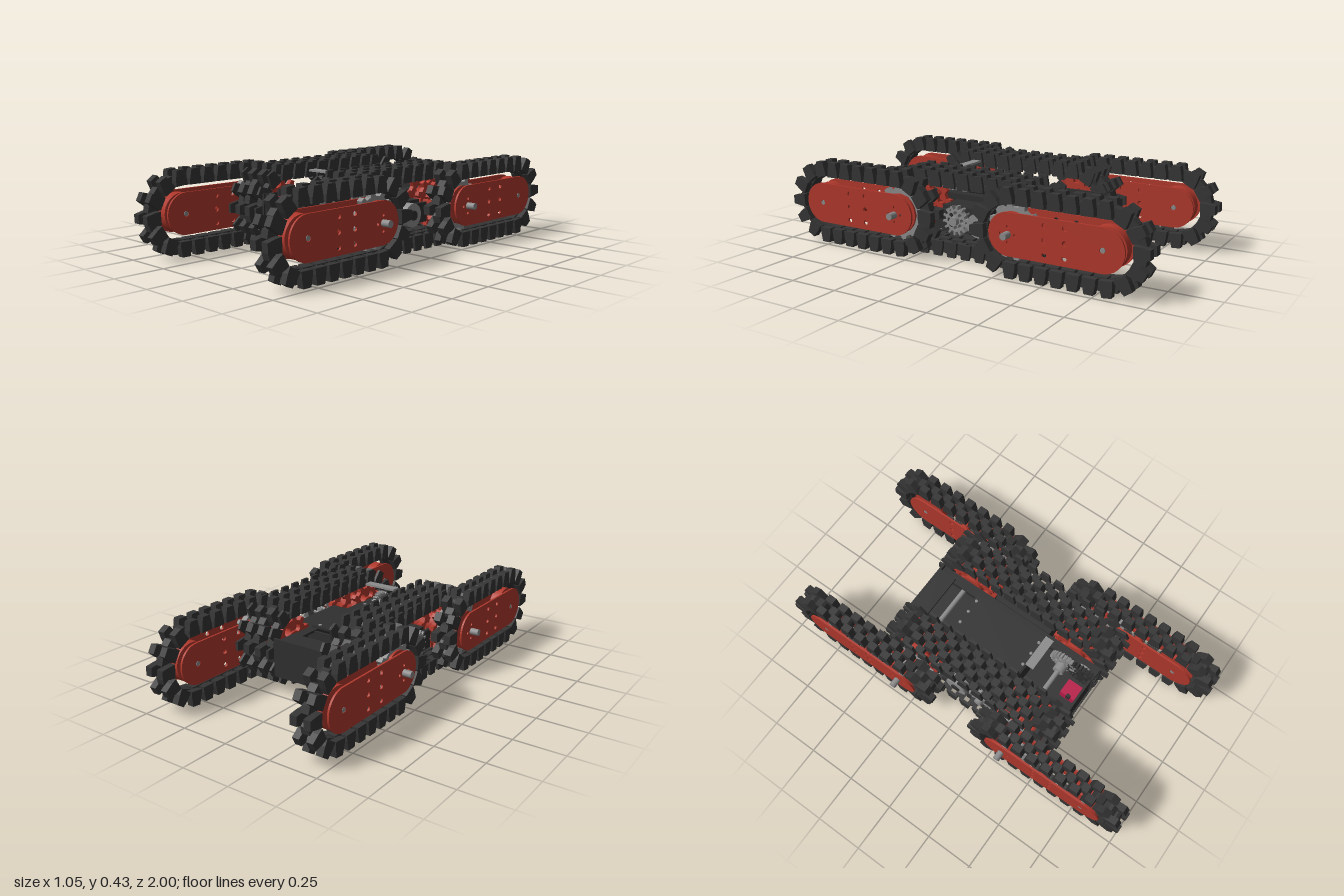
import * as THREE from 'three';
import { mergeGeometries } from 'three/addons/utils/BufferGeometryUtils.js';

const mat = (color) => new THREE.MeshStandardMaterial({ color });
const RUBBER = mat(0x353535), DARK = mat(0x303030), RED = mat(0xb0382c), GREY = mat(0x8c8c8c), PINK = mat(0xb81c4a);
const AXLE_Y = 0.22, PIVOT_Z = 0.322, TIP_Z = 0.787;

function add(parent, name, geo, material, x = 0, y = 0, z = 0) {
  const m = new THREE.Mesh(geo, material);
  m.name = name;
  m.position.set(x, y, z);
  parent.add(m);
  return m;
}
const box = (w, h, d) => new THREE.BoxGeometry(w, h, d);
// cylinder lying along x
const rod = (r, len, sides = 24) => new THREE.CylinderGeometry(r, r, len, sides).rotateZ(Math.PI / 2);

// extrude a (z, y) outline along x, centred on its thickness
function slab(shape, width, curveSegments = 12) {
  return new THREE.ExtrudeGeometry(shape, { depth: width, bevelEnabled: false, curveSegments })
    .translate(0, 0, -width / 2).rotateY(-Math.PI / 2);
}
const poly = (pts) => new THREE.Shape(pts.map(([a, b]) => new THREE.Vector2(a, b)));
function hole(shape, z, y, r) {
  shape.holes.push(new THREE.Path().absarc(z, y, r, 0, Math.PI * 2, true));
}

// toothed wheel with an optional ring of lightening holes
function gear(rIn, rOut, teeth, width, holes = 0) {
  const pts = [];
  for (let i = 0; i < teeth; i++) {
    [[0, rIn], [0.45, rIn], [0.58, rOut], [0.87, rOut]].forEach(([f, r]) => {
      const a = ((i + f) / teeth) * Math.PI * 2;
      pts.push([Math.cos(a) * r, Math.sin(a) * r]);
    });
  }
  const s = poly(pts);
  for (let i = 0; i < holes; i++) {
    const a = (i / holes) * Math.PI * 2;
    hole(s, Math.cos(a) * rIn * 0.66, Math.sin(a) * rIn * 0.66, rIn * 0.2);
  }
  return slab(s, width);
}

// point on a belt loop at arc length s: [z, y, turn]
function loopPoint(s, half, r) {
  const straight = half * 2, arc = Math.PI * r, total = 2 * (straight + arc);
  s = ((s % total) + total) % total;
  const back = s >= total / 2;
  if (back) s -= total / 2;
  const turn = back ? Math.PI : 0, sign = back ? -1 : 1;
  if (s < straight) return [sign * (s - half), sign * r, turn];
  const a = (s - straight) / r;
  return [sign * (half + Math.sin(a) * r), sign * Math.cos(a) * r, turn + a];
}

// trapezoid block profiles: along the belt and outward from the belt line
const LUG = poly([[-0.033, -0.022], [0.033, -0.022], [0.031, 0.008], [0.022, 0.054], [-0.022, 0.054], [-0.031, 0.008]]);
const LINK = poly([[-0.033, -0.027], [0.033, -0.027], [0.028, 0.015], [0.018, 0.028], [-0.018, 0.028], [-0.028, 0.015]]);
const PAD = poly([[-0.027, -0.016], [0.027, -0.016], [0.02, 0.006], [-0.02, 0.006]]);

// belt made of columns [x, width, profile, phase]
function belt(half, count, columns) {
  const r = 0.158, pitch = 2 * (2 * half + Math.PI * r) / count, parts = [];
  for (const [x, width, profile, phase] of columns) {
    for (let i = 0; i < count; i++) {
      const [z, y, turn] = loopPoint((i + phase) * pitch, half, r);
      parts.push(slab(profile, width).rotateX(turn).translate(x, y, z));
    }
  }
  return mergeGeometries(parts);
}

// rounded red side plate with bolt holes, pivot at its origin, reaching along +z
function sidePlate(width) {
  const L = TIP_Z - PIVOT_Z, r = 0.103, s = new THREE.Shape();
  s.absarc(L, 0, r, -Math.PI / 2, Math.PI / 2, false);
  s.absarc(0, 0, r, Math.PI / 2, Math.PI * 1.5, false);
  hole(s, L, 0, 0.014);
  for (const z of [0.185, 0.285]) for (const y of [-0.068, 0, 0.068]) hole(s, z, y, 0.012);
  for (let i = 0; i < 4; i++) hole(s, Math.cos(i * Math.PI / 2) * 0.037, Math.sin(i * Math.PI / 2) * 0.037, 0.008);
  return slab(s, width, 16);
}

function flipper(side, end) {
  const g = new THREE.Group(), x = side * 0.42, L = TIP_Z - PIVOT_Z;
  g.name = 'flipper';
  const columns = [[-0.036, 0.036, LUG, 0], [0.036, 0.036, LUG, 0], [0, 0.042, LINK, 0.5]];
  add(g, 'flipperTrack', belt(L / 2, 24, columns), RUBBER, x, 0, end * L / 2);
  for (const off of [-0.056, 0.056]) {
    add(g, 'flipperSidePlate', sidePlate(0.01).rotateY(end < 0 ? Math.PI : 0), RED, x + off, 0, 0);
  }
  for (const z of [0, end * L]) add(g, 'flipperHub', rod(0.098, 0.05, 32), RED, x, 0, z);
  add(g, 'flipperSpacer', rod(0.025, 0.104, 16), RED, x, 0, end * L / 2);
  add(g, 'driveSprocket', gear(0.118, 0.14, 12, 0.03, 6), GREY, x, 0, 0);
  add(g, 'tipPin', rod(0.012, 0.122, 12), GREY, x, 0, end * L);
  add(g, 'pivotShaft', rod(0.017, 0.19, 16), GREY, side * 0.43, 0, 0);
  g.position.set(0, AXLE_Y, end * PIVOT_Z);
  return g;
}

function mainTrack(side) {
  const g = new THREE.Group();
  g.name = 'mainTrack';
  const columns = [
    [-0.098, 0.014, LUG, 0], [-0.036, 0.036, LUG, 0], [0.036, 0.036, LUG, 0], [0.098, 0.014, LUG, 0],
    [-0.072, 0.038, PAD, 0.5], [0, 0.04, LINK, 0.5], [0.072, 0.038, PAD, 0.5],
  ];
  add(g, 'trackBelt', belt(PIVOT_Z, 28, columns), RUBBER);
  for (const z of [-PIVOT_Z, PIVOT_Z]) {
    add(g, 'wheelHub', rod(0.06, 0.19), RED, 0, 0, z);
    for (const x of [-0.07, 0, 0.07]) add(g, 'trackWheel', gear(0.112, 0.136, 12, 0.024, 6), RED, x, 0, z);
    add(g, 'outerSprocket', gear(0.12, 0.138, 16, 0.012, 6), GREY, side * 0.1, 0, z);
    add(g, 'wheelAxle', rod(0.017, 0.24, 16), GREY, 0, 0, z);
  }
  // motors inside the loop
  add(g, 'motorGear', gear(0.056, 0.075, 14, 0.03, 8), GREY, side * 0.05, -0.033, 0.075);
  add(g, 'motorGearShaft', rod(0.022, 0.18, 16), GREY, 0, -0.033, 0.075);
  add(g, 'motor', rod(0.06, 0.17, 32), GREY, 0, -0.035, -0.065);
  add(g, 'motorCap', rod(0.025, 0.184, 16), DARK, 0, -0.035, -0.065);
  add(g, 'motorBracket', box(0.13, 0.13, 0.34), DARK, side * -0.03, -0.035, 0);
  for (const z of [-0.15, 0.15]) add(g, 'tensionBracket', box(0.02, 0.1, 0.1), DARK, side * 0.05, -0.035, z);
  g.position.set(side * 0.252, AXLE_Y, 0);
  return g;
}

function chassis() {
  const g = new THREE.Group();
  g.name = 'chassis';
  add(g, 'floor', box(0.29, 0.012, 0.99), DARK, 0, 0.111, 0);
  add(g, 'rightWall', box(0.012, 0.2, 0.99), DARK, -0.14, 0.205, 0);
  add(g, 'leftWall', box(0.012, 0.17, 0.99), DARK, 0.14, 0.19, 0);
  add(g, 'rearWall', box(0.29, 0.195, 0.012), DARK, 0, 0.203, -0.49);
  add(g, 'frontWall', box(0.2, 0.195, 0.012), DARK, -0.045, 0.203, 0.48);
  add(g, 'lowerFrontWall', box(0.09, 0.05, 0.012), DARK, 0.1, 0.13, 0.48);
  add(g, 'deck', box(0.25, 0.012, 0.42), DARK, -0.015, 0.294, -0.035);
  add(g, 'deckStep', box(0.05, 0.012, 0.98), DARK, 0.118, 0.27, 0);
  add(g, 'rearShelf', box(0.25, 0.012, 0.1), DARK, -0.015, 0.294, -0.44);
  for (const z of [-0.24, 0.17]) {
    add(g, 'bulkhead', box(0.27, 0.16, 0.012), DARK, 0, 0.19, z);
    for (const x of [-0.07, 0, 0.07]) add(g, 'deckBolt', new THREE.CylinderGeometry(0.008, 0.008, 0.008, 10), GREY, x, 0.302, z * 0.95);
  }
  add(g, 'rearCrossShaft', rod(0.013, 0.21, 16), GREY, 0, AXLE_Y + 0.03, -0.33);
  // front gear train and servo
  add(g, 'frontCrossShaft', rod(0.013, 0.25, 16), GREY, 0, AXLE_Y + 0.03, 0.317);
  add(g, 'shaftCollar', rod(0.03, 0.04, 20), GREY, 0.035, AXLE_Y + 0.03, 0.317);
  add(g, 'drivenGear', gear(0.068, 0.08, 24, 0.026, 6), GREY, 0.077, 0.25, 0.317);
  add(g, 'drivingGear', gear(0.078, 0.092, 26, 0.026, 6), DARK, 0.077, 0.242, 0.42);
  add(g, 'gearBoss', rod(0.045, 0.02, 24), GREY, 0.1, 0.242, 0.42);
  add(g, 'servo', box(0.08, 0.14, 0.085), PINK, -0.037, 0.227, 0.435);
  add(g, 'servoMount', box(0.15, 0.12, 0.08), DARK, -0.04, 0.18, 0.435);
  add(g, 'switchPin', box(0.015, 0.04, 0.02), DARK, -0.08, 0.31, 0.44);
  add(g, 'topPlate', box(0.178, 0.01, 0.046), GREY, -0.002, 0.4, 0.212);
  return g;
}

export function createModel() {
  const model = new THREE.Group();
  model.name = 'trackedRover';
  model.add(chassis());
  for (const side of [-1, 1]) {
    model.add(mainTrack(side));
    for (const end of [-1, 1]) model.add(flipper(side, end));
  }
  return model;
}
